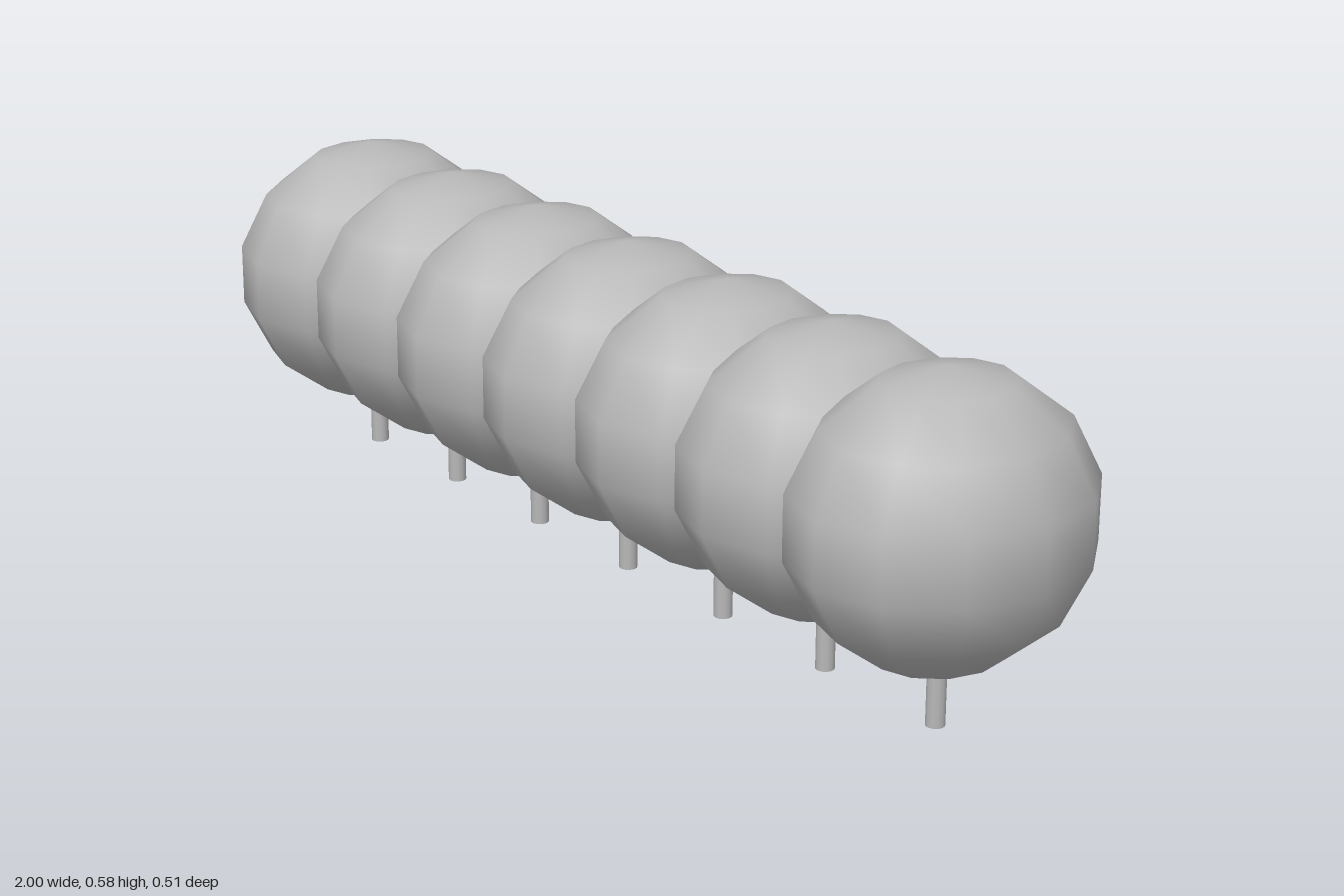
import * as THREE from 'three';

export function createModel() {
  const model = new THREE.Group();
  model.name = 'segmentedBody';
  const grey = new THREE.MeshStandardMaterial({ color: 0xb8b8b8 });
  grey.name = 'grey';

  const COUNT = 7, SPACING = 0.2595;
  // Low-count smooth sphere, squashed lengthwise
  const ball = new THREE.SphereGeometry(1, 12, 7).scale(0.2275, 0.242, 0.2595);
  const peg = new THREE.CylinderGeometry(0.016, 0.016, 0.13, 12);

  for (let i = 0; i < COUNT; i++) {
    const segment = new THREE.Group();
    segment.name = `segment${i + 1}`;
    segment.position.x = (i - (COUNT - 1) / 2) * SPACING;

    // Rounded body ball
    const body = new THREE.Mesh(ball, grey);
    body.name = 'bodyBall';
    body.position.y = 0.342;

    // Thin leg, its top sunk into the ball
    const leg = new THREE.Mesh(peg, grey);
    leg.name = 'leg';
    leg.position.y = 0.065;

    segment.add(body, leg);
    model.add(segment);
  }
  return model;
}
